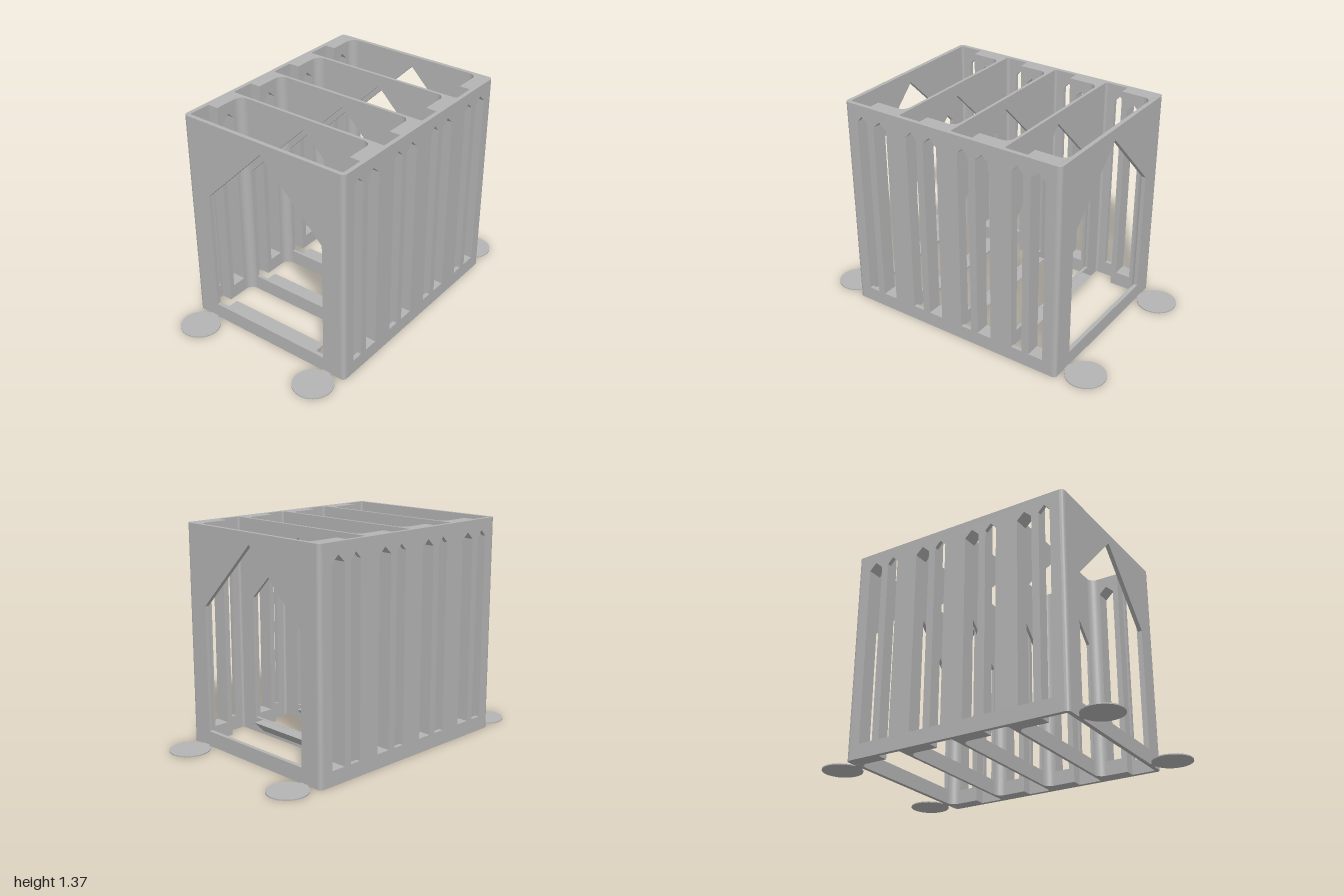
import * as THREE from 'three';
import { toCreasedNormals } from 'three/addons/utils/BufferGeometryUtils.js';

export function createModel() {
  const group = new THREE.Group();
  const grey = new THREE.MeshStandardMaterial({ color: 0xb3b3b3 });
  grey.name = 'plain grey';

  const H = 1.37;                       // height of the rack
  const X = 0.572, Z = 0.745;           // outer half sizes
  const XI = 0.545;                     // inside of the thin side panels
  const XB = 0.475;                     // inside of the thick ribs
  const ZI = 0.719;                     // inside of the end walls
  const PITCH = 0.364, CELL = 0.345, RIB = 0.196;

  const poly = (pts) => new THREE.Shape(pts.map(([a, b]) => new THREE.Vector2(a, b)));
  const rect = (a0, a1, b0, b1) => poly([[a0, b0], [a1, b0], [a1, b1], [a0, b1]]);
  const gable = (a0, a1, b0, b1, peak) =>
    poly([[a0, b0], [a1, b0], [a1, b1], [(a0 + a1) / 2, peak], [a0, b1]]);
  const extrude = (shape, depth) =>
    new THREE.ExtrudeGeometry(shape, { depth, bevelEnabled: false, curveSegments: 24 });
  const add = (name, geometry, x = 0, y = 0, z = 0) => {
    const mesh = new THREE.Mesh(geometry, grey);
    mesh.name = name;
    mesh.position.set(x, y, z);
    group.add(mesh);
  };
  // Panel drawn in (z, y), running from outer x down by its thickness
  const sidePanel = (name, shape, x0, x1) =>
    add(name, extrude(shape, x1 - x0).rotateY(-Math.PI / 2), x1);
  // Upright drawn in plan (x, z)
  const upright = (name, pts) => {
    const g = extrude(poly(pts.map(([x, z]) => [x, -z])), H).rotateX(-Math.PI / 2);
    add(name, toCreasedNormals(g, 0.5));
  };
  // Quarter arc points around a centre, opening towards (sx, sz)
  const arc = (cx, cz, r, sx, sz) => Array.from({ length: 9 }, (_, i) => {
    const t = (i / 8) * Math.PI / 2;
    return [cx + sx * r * Math.cos(t), cz + sz * r * Math.sin(t)];
  });
  // Concave fill for the inner corner at (x, z), whose open side is towards (-sx, -sz)
  const fillet = (name, x, z, r, sx, sz) =>
    upright(name, [[x, z], ...arc(x - sx * r, z - sz * r, r, sx, sz)]);

  // Cross walls with the gabled opening
  const crossWall = (name, z0, z1) => {
    const s = rect(-XI, XI, 0, H);
    s.holes.push(gable(-0.42, 0.42, 0.095, 0.88, 1.3));
    add(name, extrude(s, z1 - z0), 0, 0, z0);
  };
  crossWall('frontWall', ZI, Z);
  crossWall('backWall', -Z, -ZI);
  const cells = [0, 1, 2, 3].map((i) => ZI - CELL - i * PITCH);   // back edge of each cell
  cells.slice(0, 3).forEach((z) => crossWall('divider', z - (PITCH - CELL), z));

  // Slots in the side walls, two to a cell
  const frontSlot = (z) => gable(z + 0.208, z + 0.282, 0.092, 1.262, 1.3);
  const backSlot = (z) => gable(z + 0.064, z + 0.16, 0.092, 1.255, 1.3);

  for (const s of [-1, 1]) {
    const span = (a, b) => (s > 0 ? [a, b] : [-b, -a]);

    const panel = rect(-ZI, ZI, 0, H);
    cells.forEach((z) => panel.holes.push(frontSlot(z), backSlot(z)));
    sidePanel('sidePanel', panel, ...span(XI, X));

    for (const z of cells) {
      // Thick rib at the back of each cell, with rounded inner corner
      const rib = rect(z, z + RIB, 0, H);
      rib.holes.push(backSlot(z));
      sidePanel('sideRib', rib, ...span(XB, XI));
      fillet('ribFillet', s * XB, z, 0.05, s, -1);
      fillet('pocketFillet', s * XI, z + CELL, 0.012, s, 1);
    }

    for (const e of [-1, 1]) {
      // Rounded outer corner posts
      const r = 0.025;
      upright('cornerPost', [[s * XI, e * ZI], [s * X, e * ZI],
        ...arc(s * (X - r), e * (Z - r), r, s, e), [s * XI, e * Z]]);

      // Thin foot discs with their linking tabs
      const disc = new THREE.CylinderGeometry(0.124, 0.124, 0.007, 48);
      add('footDisc', disc, s * 0.447, 0.0035, e * 0.876);
      add('footTab', new THREE.BoxGeometry(0.06, 0.006, 0.03), s * 0.447, 0.003, e * 0.757);
    }
  }

  // Wedge-shaped ledges behind the front of each cell
  for (const z of cells) {
    const f = z + CELL;
    sidePanel('ledge', poly([[f, 0.02], [f, 0.094], [f - 0.073, 0.094]]), -0.348, 0.348);
  }

  return group;
}
